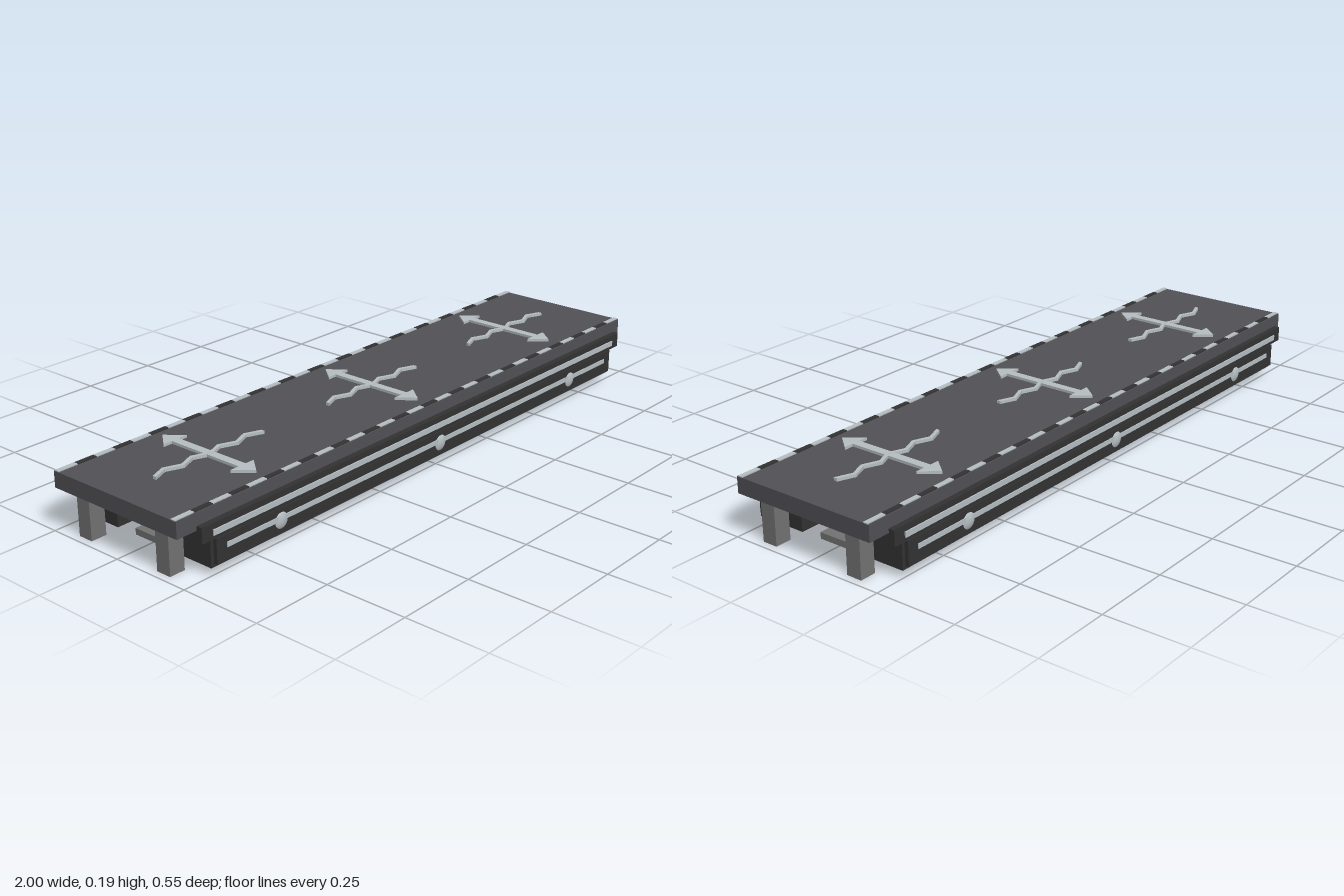
import * as THREE from 'three';

export function createModel() {
  const model = new THREE.Group();
  const paint = (name, color) => {
    const m = new THREE.MeshStandardMaterial({ color });
    m.name = name;
    return m;
  };
  const deckGrey = paint('deckGrey', 0x525257);
  const charcoal = paint('charcoal', 0x333333);
  const steel = paint('steel', 0x737373);
  const silver = paint('silver', 0xb8c0c4);

  const add = (name, geometry, material, x = 0, y = 0, z = 0) => {
    const mesh = new THREE.Mesh(geometry, material);
    mesh.name = name;
    mesh.position.set(x, y, z);
    model.add(mesh);
    return mesh;
  };
  // Box given by its lower and upper limits on each axis
  const box = (name, material, [x0, x1], [y0, y1], [z0, z1]) =>
    add(name, new THREE.BoxGeometry(x1 - x0, y1 - y0, z1 - z0), material,
      (x0 + x1) / 2, (y0 + y1) / 2, (z0 + z1) / 2);
  // Range mirrored to the chosen side
  const side = (s, a, b) => (s > 0 ? [a, b] : [-b, -a]);

  box('deck', deckGrey, [-1, 1], [0.132, 0.181], [-0.233, 0.233]);
  box('bottomBar', steel, [-0.885, 0.885], [0.008, 0.027], [-0.057, 0.057]);

  for (const s of [1, -1]) {
    // Side beam with its panel, rail and light strips
    box('sideBeam', charcoal, [-0.91, 0.91], [0.025, 0.132], side(s, 0.098, 0.255));
    box('sidePanel', charcoal, [-0.9, 0.9], [0.035, 0.107], side(s, 0.254, 0.267));
    box('panelStrip', silver, [-0.865, 0.865], [0.072, 0.086], side(s, 0.266, 0.27));
    box('sideRail', charcoal, [-0.947, 0.947], [0.109, 0.155], side(s, 0.248, 0.266));
    box('railStrip', silver, [-0.91, 0.91], [0.121, 0.137], side(s, 0.265, 0.27));

    // Domed studs
    for (const x of [-0.667, 0, 0.667]) {
      const stud = add('stud', new THREE.SphereGeometry(0.031, 24, 16), silver, x, 0.072, s * 0.257);
      stud.scale.z = 0.5;
    }

    // Legs at both ends
    for (const e of [1, -1]) {
      box('leg', steel, side(e, 0.927, 0.977), [0, 0.132], side(s, 0.127, 0.175));
    }

    // Dashed edge marking
    const count = 31, step = 2 / count;
    for (let i = 0; i < count; i++) {
      const x = -1 + i * step;
      box('edgeDash', i % 2 ? charcoal : silver, [x, x + step], [0.18, 0.184], side(s, 0.214, 0.229));
    }
  }

  // Double-headed arrow outline
  const arrow = new THREE.Shape([
    [0, 0.18], [-0.043, 0.128], [-0.013, 0.128], [-0.013, -0.128], [-0.043, -0.128],
    [0, -0.18], [0.043, -0.128], [0.013, -0.128], [0.013, 0.128], [0.043, 0.128],
  ].map(([x, y]) => new THREE.Vector2(x, y)));

  // Zigzag ribbon outline
  const upper = [], lower = [];
  for (let i = 0; i <= 8; i++) {
    const x = -0.2 + i * 0.05, y = i % 2 ? 0.011 : -0.009;
    upper.push(new THREE.Vector2(x, y + 0.006));
    lower.unshift(new THREE.Vector2(x, y - 0.006));
  }
  const zigzag = new THREE.Shape([...upper, ...lower]);

  const plate = (shape, depth) =>
    new THREE.ExtrudeGeometry(shape, { depth, bevelEnabled: false }).rotateX(-Math.PI / 2);
  const arrowPlate = plate(arrow, 0.008);
  const zigzagPlate = plate(zigzag, 0.009);
  for (const x of [-0.667, 0, 0.667]) {
    add('arrowMark', arrowPlate, silver, x, 0.181, 0);
    add('zigzagMark', zigzagPlate, silver, x, 0.181, 0);
  }
  return model;
}
